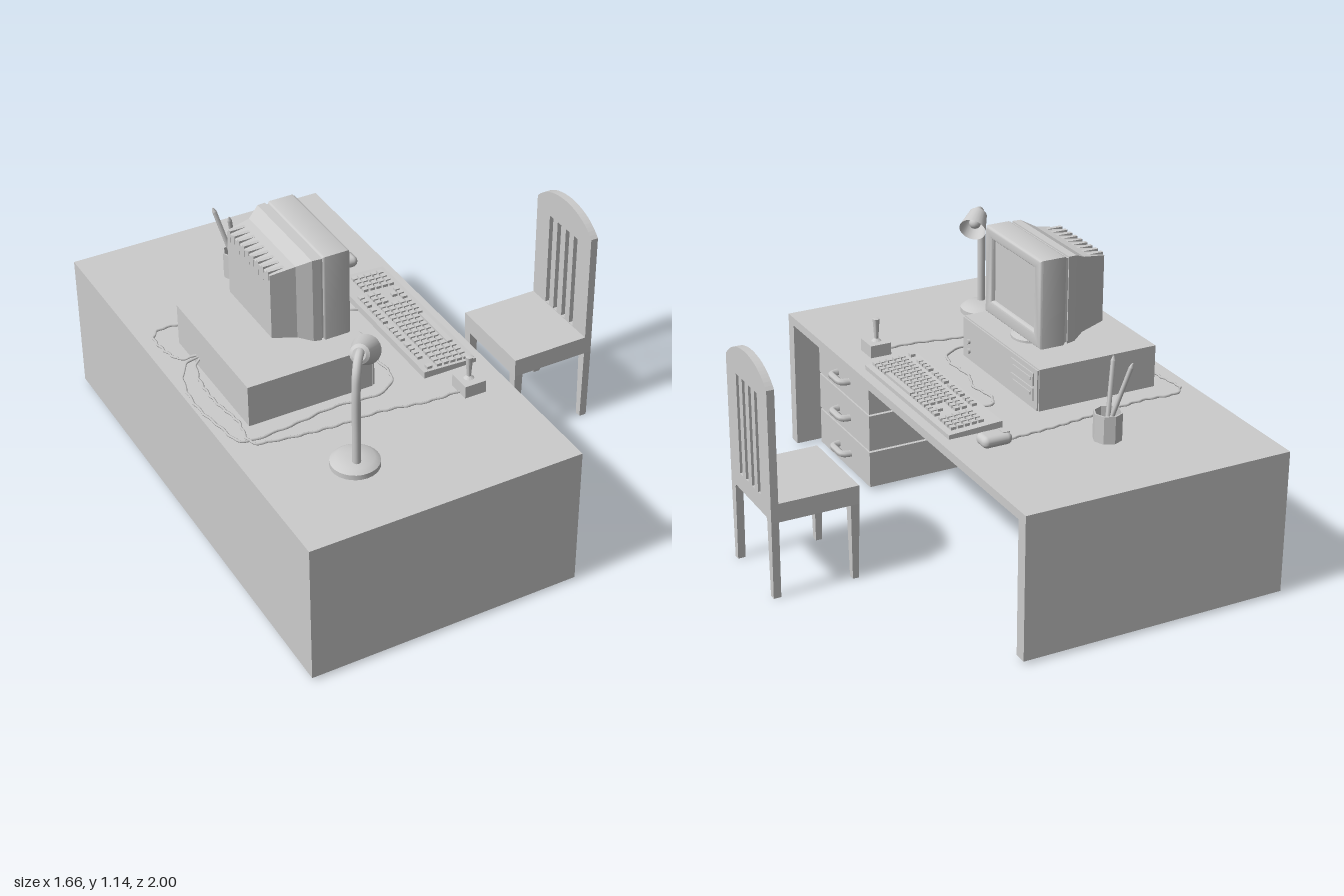
import * as THREE from 'three';
import { mergeGeometries, toCreasedNormals } from 'three/addons/utils/BufferGeometryUtils.js';
import { RoundedBoxGeometry } from 'three/addons/geometries/RoundedBoxGeometry.js';

const mat = new THREE.MeshStandardMaterial({ color: 0xcccccc, side: THREE.DoubleSide });
const V = (x, y, z) => new THREE.Vector3(x, y, z);

function group(parent, name) {
  const g = new THREE.Group();
  g.name = name;
  parent.add(g);
  return g;
}
function add(parent, name, geo, x = 0, y = 0, z = 0) {
  const m = new THREE.Mesh(geo, mat);
  m.name = name;
  m.position.set(x, y, z);
  parent.add(m);
  return m;
}
// Box geometry from its limits on each axis
const boxGeo = (x0, x1, y0, y1, z0, z1) =>
  new THREE.BoxGeometry(x1 - x0, y1 - y0, z1 - z0).translate((x0 + x1) / 2, (y0 + y1) / 2, (z0 + z1) / 2);
const box = (p, name, ...b) => add(p, name, boxGeo(...b));

// Extrude a shape drawn in (-z, y) along +x, starting at x0
function extrudeX(shape, x0, depth, bevel = 0) {
  const g = new THREE.ExtrudeGeometry(shape, {
    depth: depth - 2 * bevel, bevelEnabled: bevel > 0, bevelSize: bevel, bevelOffset: -bevel,
    bevelThickness: bevel, bevelSegments: 3, curveSegments: 12,
  });
  return g.translate(0, 0, bevel).rotateY(Math.PI / 2).translate(x0, 0, 0);
}
const rectPts = (w, y0, y1) => [[-w, y0], [w, y0], [w, y1], [-w, y1]].map(p => new THREE.Vector2(...p));

// Rectangular sections [x, y0, y1, halfWidth] joined along x, closed at both ends
function loftX(sections) {
  const pos = [];
  const quad = (a, b, c, d) => [a, b, c, a, c, d].forEach(p => pos.push(...p));
  const rings = sections.map(([x, y0, y1, w]) => [[x, y0, -w], [x, y0, w], [x, y1, w], [x, y1, -w]]);
  for (let i = 0; i + 1 < rings.length; i++)
    for (let k = 0; k < 4; k++) {
      const n = (k + 1) % 4;
      quad(rings[i][k], rings[i + 1][k], rings[i + 1][n], rings[i][n]);
    }
  const last = rings[rings.length - 1];
  quad(...rings[0]);
  quad(last[3], last[2], last[1], last[0]);
  const g = new THREE.BufferGeometry();
  g.setAttribute('position', new THREE.Float32BufferAttribute(pos, 3));
  g.computeVertexNormals();
  return g;
}
// Tapered rod between two points
function rod(p, name, a, b, r0, r1, sides = 8, open = false) {
  const m = add(p, name, new THREE.CylinderGeometry(r1, r0, a.distanceTo(b), sides, 1, open));
  m.position.copy(a).lerp(b, 0.5);
  m.quaternion.setFromUnitVectors(V(0, 1, 0), b.clone().sub(a).normalize());
}
const tube = (pts, r, n, sides) => new THREE.TubeGeometry(new THREE.CatmullRomCurve3(pts), n, r, sides);
const lathe = (pts, n) =>
  toCreasedNormals(new THREE.LatheGeometry(pts.map(p => new THREE.Vector2(...p)), n), 0.6);

function buildDesk(root) {
  const desk = group(root, 'desk');
  box(desk, 'deskTop', -0.835, 0.24, 0.545, 0.58, -1, 1);
  box(desk, 'backPanel', -0.835, -0.8, 0.012, 0.545, -1, 1);
  for (const s of [-1, 1])
    box(desk, 'sidePanel', -0.8, 0.24, 0.012, 0.545, Math.min(s, s * 0.95), Math.max(s, s * 0.95));

  // Free-standing drawer unit under the model's left end
  const unit = group(root, 'drawerUnit');
  box(unit, 'drawerCore', -0.4, 0.13, 0.02, 0.485, 0.455, 0.9);
  for (let i = 0; i < 3; i++) {
    const y = 0.015 + i * 0.16;
    box(unit, 'drawer', -0.41, 0.145, y, y + 0.152, 0.44, 0.915);
    const h = [V(0.14, y + 0.07, 0.625), V(0.175, y + 0.07, 0.635), V(0.18, y + 0.07, 0.68),
      V(0.175, y + 0.07, 0.725), V(0.14, y + 0.07, 0.735)];
    add(unit, 'drawerHandle', tube(h, 0.015, 16, 6));
  }
  for (const x of [-0.35, 0.085]) for (const z of [0.51, 0.86])
    add(unit, 'foot', new THREE.CylinderGeometry(0.02, 0.02, 0.016, 12), x, 0.008, z);
}

function buildChair(root) {
  const chair = group(root, 'chair');
  box(chair, 'seat', 0.48, 0.81, 0.31, 0.385, -0.188, 0.188);
  for (const s of [-1, 1]) {
    const leg = new THREE.BoxGeometry(0.035, 0.32, 0.04);
    const p = leg.attributes.position;
    for (let i = 0; i < p.count; i++)
      if (p.getY(i) < 0) p.setXYZ(i, p.getX(i) * 0.7, p.getY(i), p.getZ(i) * 0.65);
    leg.computeVertexNormals();
    add(chair, 'frontLeg', leg, 0.498, 0.16, s * 0.168);
  }
  // Back legs and slotted backrest in one board
  const s = new THREE.Shape();
  s.moveTo(-0.188, 0.31);
  s.lineTo(-0.184, 0);
  s.lineTo(-0.158, 0);
  s.lineTo(-0.15, 0.31);
  s.quadraticCurveTo(-0.148, 0.32, -0.138, 0.32);
  s.lineTo(0.138, 0.32);
  s.quadraticCurveTo(0.148, 0.32, 0.15, 0.31);
  s.lineTo(0.158, 0);
  s.lineTo(0.184, 0);
  s.lineTo(0.188, 0.31);
  s.lineTo(0.188, 0.835);
  s.quadraticCurveTo(0.12, 0.91, 0, 0.912);
  s.quadraticCurveTo(-0.12, 0.91, -0.188, 0.835);
  for (const z of [-0.085, -0.029, 0.029, 0.085])
    s.holes.push(new THREE.Path(rectPts(0.0125, 0.388, 0.79).map(v => v.setX(v.x + z))));
  add(chair, 'backrest', extrudeX(s, 0.8, 0.03));
}

function buildComputer(root) {
  const pc = group(root, 'computerCase');
  box(pc, 'caseBody', -0.705, -0.205, 0.58, 0.748, -0.297, 0.293);
  box(pc, 'caseFront', -0.203, -0.197, 0.583, 0.745, -0.295, 0.291);
  for (const y of [0.615, 0.675]) {
    box(pc, 'driveBay', -0.2, -0.192, y, y + 0.05, -0.27, -0.1);
    box(pc, 'driveSlot', -0.195, -0.188, y + 0.02, y + 0.032, -0.255, -0.12);
  }
  for (const y of [0.62, 0.66])
    add(pc, 'button', new THREE.CylinderGeometry(0.01, 0.01, 0.012, 10).rotateZ(Math.PI / 2), -0.193, y, 0.24);

  const mon = group(root, 'monitor');
  add(mon, 'swivelFoot', lathe([[0, 0.745], [0.078, 0.745], [0.078, 0.757], [0.04, 0.768], [0.04, 0.79], [0, 0.79]], 24), -0.335, 0, 0);
  add(mon, 'tubeHousing', loftX([[-0.545, 0.832, 1.095, 0.17], [-0.45, 0.81, 1.11, 0.183],
    [-0.4, 0.795, 1.135, 0.213], [-0.368, 0.79, 1.135, 0.215]]));
  box(mon, 'seam', -0.37, -0.355, 0.795, 1.13, -0.21, 0.21);
  const frame = new THREE.Shape(rectPts(0.215, 0.787, 1.137));
  frame.holes.push(new THREE.Path(rectPts(0.165, 0.845, 1.095)));
  add(mon, 'bezel', toCreasedNormals(extrudeX(frame, -0.36, 0.11, 0.01), 0.7));
  box(mon, 'screen', -0.35, -0.268, 0.83, 1.11, -0.18, 0.18);
  for (let i = 0; i < 9; i++) {
    const z = -0.152 + i * 0.038;
    box(mon, 'ventRib', -0.546, -0.45, 1.05, 1.105, z - 0.008, z + 0.008);
  }
}

function buildKeyboard(root) {
  const kb = group(root, 'keyboard');
  const side = [[-0.02, 0.58], [0.2, 0.58], [0.2, 0.597], [-0.02, 0.608]].map(p => new THREE.Vector2(...p));
  add(kb, 'keyboardBody', new THREE.ExtrudeGeometry(new THREE.Shape(side), { depth: 0.705, bevelEnabled: false })
    .translate(0, 0, -0.357));
  const keys = [];
  const key = (x, z, w = 0.021) => {
    const y = 0.607 - 0.05 * (x + 0.02);
    keys.push(boxGeo(x - 0.0105, x + 0.0105, y - 0.006, y + 0.012, z - w / 2, z + w / 2));
  };
  const rows = [0.052, 0.08, 0.108, 0.136, 0.164];
  rows.forEach((x, r) => {
    // Main block, with a long space bar in the last row
    for (let i = 0; i < 16; i++)
      if (r < 4 || i < 4 || i > 11) key(x, 0.325 - i * 0.028);
    for (let i = 0; i < 4; i++) key(x, -0.232 - i * 0.028);
    // Navigation and arrow keys
    for (let i = 0; i < 3; i++)
      if (r < 2 || r === 4 || (r === 3 && i === 1)) key(x, -0.128 - i * 0.028);
  });
  key(0.164, 0.115, 0.21);
  // Top row of small keys
  [0.325, 0.255, 0.227, 0.199, 0.171, 0.125, 0.097, 0.069, 0.041, -0.005, -0.033, -0.061, -0.089,
    -0.128, -0.156, -0.184].forEach(z => key(0.01, z));
  add(kb, 'keys', mergeGeometries(keys));
}

function buildDevices(root) {
  const mouse = group(root, 'mouse');
  add(mouse, 'mouseBody', new RoundedBoxGeometry(0.12, 0.045, 0.078, 4, 0.021), 0.07, 0.602, -0.46);
  box(mouse, 'mouseButtons', 0.018, 0.045, 0.61, 0.627, -0.48, -0.44);

  const joy = group(root, 'joystick');
  box(joy, 'joystickBase', 0.048, 0.135, 0.58, 0.63, 0.432, 0.525);
  add(joy, 'stick', lathe([[0, 0.63], [0.02, 0.63], [0.008, 0.64], [0.014, 0.722], [0, 0.726]], 12), 0.09, 0, 0.478);

  // Slightly wavy cables, given as [x, z] points lying on the desk
  const cable = (name, pts) => {
    const c = new THREE.CatmullRomCurve3(pts.map(([x, z, y = 0.586]) => V(x, y, z)));
    const wavy = c.getSpacedPoints(70).map((p, i) =>
      p.add(V(Math.sin(i * 2.1) * 0.003, 0, Math.cos(i * 1.7) * 0.003)));
    add(root, name, tube(wavy, 0.005, 210, 5));
  };
  cable('mouseCable', [[0.02, -0.46], [-0.15, -0.45], [-0.4, -0.42], [-0.6, -0.395], [-0.74, -0.4],
    [-0.78, -0.36], [-0.765, -0.22], [-0.745, -0.16, 0.605], [-0.7, -0.14, 0.62]]);
  cable('keyboardCable', [[-0.015, -0.16], [-0.08, -0.17], [-0.105, -0.1], [-0.09, 0], [-0.12, 0.1], [-0.12, 0.28],
    [-0.19, 0.35], [-0.4, 0.345], [-0.6, 0.37], [-0.77, 0.365], [-0.8, 0.25], [-0.82, 0.1],
    [-0.8, -0.05], [-0.76, -0.12, 0.605], [-0.7, -0.13, 0.62]]);
  cable('joystickCable', [[0.05, 0.483], [-0.08, 0.48], [-0.25, 0.45], [-0.45, 0.445], [-0.65, 0.42], [-0.74, 0.39],
    [-0.73, 0.25], [-0.75, 0.1], [-0.74, -0.05], [-0.725, -0.1, 0.605], [-0.7, -0.12, 0.62]]);
}

function buildLampAndPot(root) {
  const lamp = group(root, 'deskLamp');
  add(lamp, 'lampBase', lathe([[0, 0.58], [0.09, 0.58], [0.09, 0.6], [0.07, 0.614], [0.025, 0.618], [0, 0.618]], 28), -0.48, 0, 0.665);
  add(lamp, 'lampArm', tube([V(-0.49, 0.61, 0.695), V(-0.49, 0.75, 0.695), V(-0.49, 0.92, 0.695),
    V(-0.482, 0.985, 0.685), V(-0.462, 1.02, 0.66), V(-0.44, 1.025, 0.635), V(-0.425, 1.005, 0.618)], 0.016, 40, 10));
  const top = V(-0.442, 1.015, 0.634), mouth = V(-0.385, 0.978, 0.575);
  rod(lamp, 'shade', top, mouth, 0.036, 0.054, 24, true);
  rod(lamp, 'shadeCap', top.clone().lerp(mouth, -0.1), top, 0.024, 0.036, 24);
  add(lamp, 'bulb', new THREE.SphereGeometry(0.024, 14, 10)).position.copy(top).lerp(mouth, 0.55);

  const pot = group(root, 'pencilPot');
  const wall = new THREE.LatheGeometry([[0, 0.582], [0.055, 0.582], [0.055, 0.69], [0.049, 0.69], [0.049, 0.59], [0, 0.59]]
    .map(p => new THREE.Vector2(...p)), 8);
  add(pot, 'pot', toCreasedNormals(wall, 0.3), -0.31, 0, -0.612);
  for (const [a, b] of [[V(-0.31, 0.6, -0.6), V(-0.38, 0.88, -0.655)], [V(-0.3, 0.6, -0.62), V(-0.355, 0.88, -0.565)]]) {
    const neck = a.clone().lerp(b, 0.94);
    rod(pot, 'pencil', a, neck, 0.009, 0.009, 6);
    rod(pot, 'pencilTip', neck, b, 0.009, 0.003, 6);
  }
}

export function createModel() {
  const root = new THREE.Group();
  root.name = 'computerDesk';
  [buildDesk, buildChair, buildComputer, buildKeyboard, buildDevices, buildLampAndPot].forEach(f => f(root));
  return root;
}
